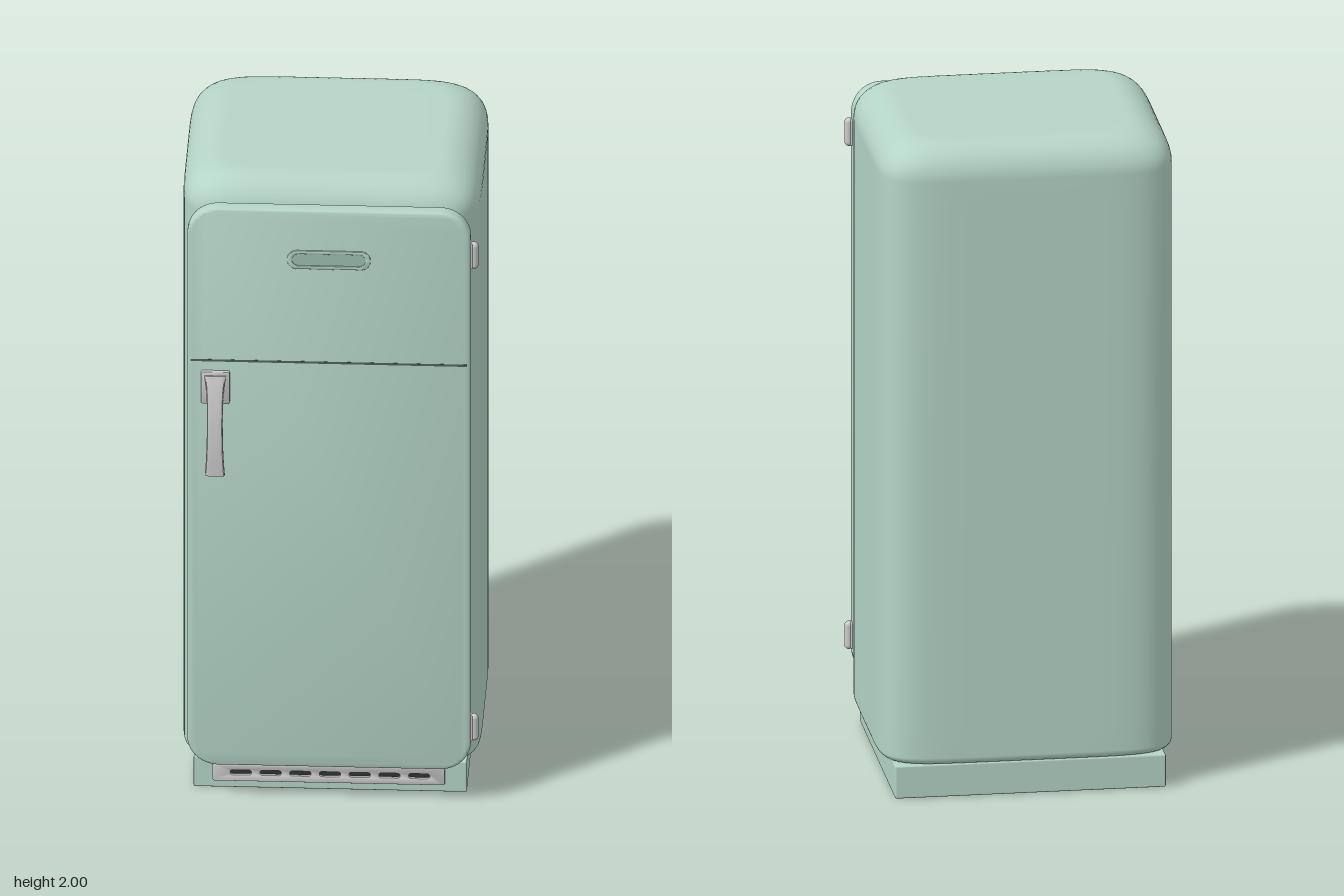
import * as THREE from 'three';
import { toCreasedNormals } from 'three/addons/utils/BufferGeometryUtils.js';
import { RoundedBoxGeometry } from 'three/addons/geometries/RoundedBoxGeometry.js';

const paint = (color) => new THREE.MeshStandardMaterial({ color });

// Rounded rectangle outline centred on (x, y)
function roundRect(w, h, r, x = 0, y = 0, Type = THREE.Shape) {
  const s = new Type();
  const a = w / 2 - r, b = h / 2 - r;
  s.absarc(x + a, y + b, r, 0, Math.PI / 2);
  s.absarc(x - a, y + b, r, Math.PI / 2, Math.PI);
  s.absarc(x - a, y - b, r, Math.PI, Math.PI * 1.5);
  s.absarc(x + a, y - b, r, Math.PI * 1.5, Math.PI * 2);
  s.closePath();
  return s;
}

// Extrudes an outline from z0 to z1 with softened edges
function slab(shape, z0, z1, bevel) {
  const g = new THREE.ExtrudeGeometry(shape, {
    depth: z1 - z0 - 2 * bevel, bevelEnabled: bevel > 0, bevelSize: bevel,
    bevelOffset: -bevel, bevelThickness: bevel, bevelSegments: 4, curveSegments: 14,
  });
  g.translate(0, 0, z0 + bevel);
  return toCreasedNormals(g, 0.6);
}

// Stacks closed loops of points into a smooth skin
function loft(loops) {
  const n = loops[0].length, index = [];
  for (let j = 0; j < loops.length - 1; j++) {
    for (let i = 0; i < n; i++) {
      const a = j * n + i, b = j * n + (i + 1) % n;
      index.push(a, a + n, b, b, a + n, b + n);
    }
  }
  const g = new THREE.BufferGeometry().setFromPoints(loops.flat());
  g.setIndex(index);
  g.computeVertexNormals();
  return g;
}

// Cabinet: bulging plan outline, large round at the top, small one at the bottom
function cabinetGeometry() {
  const halfX = 0.437, halfZ = 0.384, zMid = -0.056, y0 = 0.1, y1 = 2, n = 7;
  const ring = (y, inset) => Array.from({ length: 128 }, (_, i) => {
    const t = (i / 128) * Math.PI * 2, c = Math.cos(t), s = Math.sin(t);
    const r = (Math.abs(c) ** n + Math.abs(s) ** n) ** (-1 / n);
    return new THREE.Vector3(c * r * (halfX - inset * halfX / halfZ), y, zMid + s * r * (halfZ - inset));
  });
  const loops = [ring(y0, halfZ), ring(y0, 0.1)];
  const rb = 0.022, rt = 0.105, steps = 12;
  for (let i = 0; i <= 6; i++) {
    const t = (i / 6) * Math.PI / 2;
    loops.push(ring(y0 + rb * (1 - Math.cos(t)), rb * (1 - Math.sin(t))));
  }
  loops.push(ring(0.2, 0), ring(1.8, 0));
  for (let i = 0; i <= steps; i++) {
    const t = (i / steps) * Math.PI / 2;
    loops.push(ring(y1 - rt + rt * Math.sin(t), rt * (1 - Math.cos(t))));
  }
  loops.push(ring(y1, 0.16), ring(y1, halfZ));
  return loft(loops);
}

// Handle grip: rectangular sections following a bowed path, waisted in the middle
function gripGeometry() {
  const path = new THREE.CatmullRomCurve3([
    [1.402, 0.4], [1.36, 0.411], [1.28, 0.424], [1.18, 0.43], [1.09, 0.427],
  ].map(([y, z]) => new THREE.Vector3(-0.332, y, z)));
  const loops = [], steps = 24;
  const section = (t, k) => {
    const p = path.getPoint(t), d = path.getTangent(t);
    const w = (0.023 + 0.03 * (t - 0.55) ** 2) * k, h = 0.01 * k;
    return Array.from({ length: 24 }, (_, i) => {
      const a = (i / 24) * Math.PI * 2, c = Math.cos(a), s = Math.sin(a);
      const r = (c ** 6 + s ** 6) ** (-1 / 6);
      // section plane is spanned by x and the path's normal
      return new THREE.Vector3(p.x + c * r * w, p.y + s * r * h * d.z, p.z - s * r * h * d.y);
    });
  };
  loops.push(section(0, 0));
  for (let i = 0; i <= steps; i++) loops.push(section(i / steps, 1));
  loops.push(section(1, 0));
  // loops run downwards, so turn them over to face outwards
  return toCreasedNormals(loft(loops.reverse()), 0.7);
}

export function createModel() {
  const model = new THREE.Group();
  const green = paint(0xb4d4c6), grey = paint(0xcccccc), dark = paint(0x303434);
  const seamGreen = paint(0x4f625a);
  const add = (name, geometry, material, x = 0, y = 0, z = 0) => {
    const mesh = new THREE.Mesh(geometry, material);
    mesh.name = name;
    mesh.position.set(x, y, z);
    model.add(mesh);
    return mesh;
  };

  // Plinth and cabinet
  add('plinth', new RoundedBoxGeometry(0.8, 0.1, 0.73, 2, 0.005), green, 0, 0.05, -0.063);
  add('cabinet', cabinetGeometry(), green);

  // Door with its seal and the seam between the compartments
  add('doorSeal', slab(roundRect(0.79, 1.77, 0.08, 0, 1.03), 0.325, 0.342, 0.004), grey);
  add('door', slab(roundRect(0.83, 1.83, 0.09, 0, 1.03), 0.34, 0.39, 0.012), green);
  add('doorSeam', new THREE.BoxGeometry(0.81, 0.007, 0.01), seamGreen, 0, 1.447, 0.3855);

  // Oval trim: a raised rim around a plain panel
  const rim = roundRect(0.245, 0.06, 0.0295, 0, 1.785);
  rim.holes.push(roundRect(0.215, 0.038, 0.0185, 0, 1.785, THREE.Path));
  add('ovalRim', slab(rim, 0.385, 0.395, 0.002), green);
  add('ovalPanel', slab(roundRect(0.222, 0.044, 0.0215, 0, 1.785), 0.385, 0.391, 0), paint(0x9dbdae));

  // Handle
  add('handlePlate', slab(roundRect(0.084, 0.105, 0.006, -0.332, 1.362), 0.385, 0.402, 0.004), grey);
  add('handleGrip', gripGeometry(), grey);

  // Hinges on the left edge of the door
  for (const y of [1.798, 0.248]) {
    add('hingePin', new THREE.CapsuleGeometry(0.013, 0.06, 6, 20), grey, 0.424, y, 0.364);
    add('hingeLeaf', new RoundedBoxGeometry(0.016, 0.08, 0.028, 2, 0.004), grey, 0.413, y, 0.364);
  }

  // Vent grille with seven slots over a dark backing
  const grille = roundRect(0.68, 0.056, 0.006, -0.004, 0.056);
  for (let i = -3; i <= 3; i++) {
    grille.holes.push(roundRect(0.062, 0.016, 0.0075, i * 0.087, 0.056, THREE.Path));
  }
  add('ventGrille', slab(grille, 0.298, 0.315, 0.001), grey);
  add('ventBacking', new THREE.BoxGeometry(0.64, 0.03, 0.006), dark, 0, 0.056, 0.303);

  return model;
}
